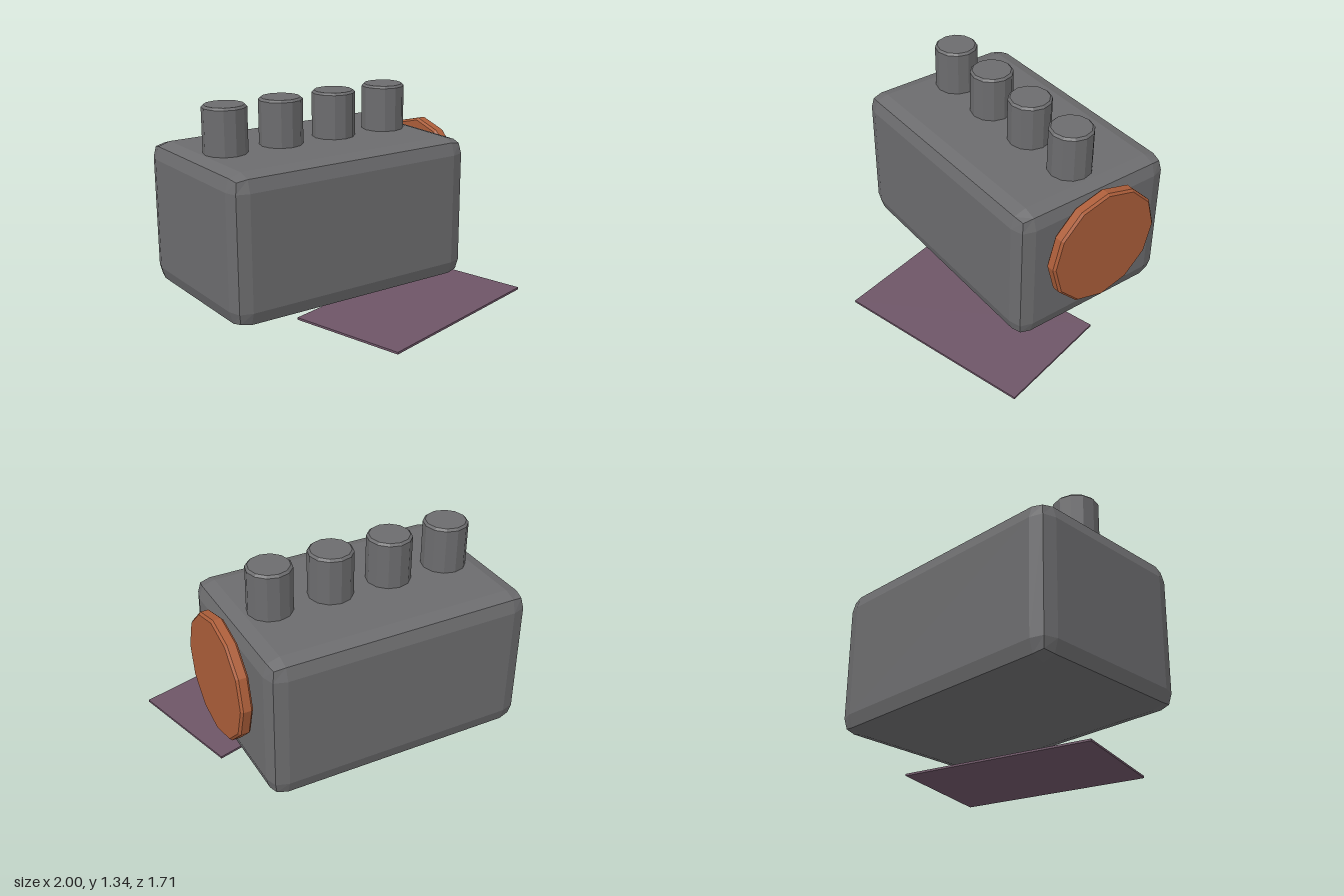
import * as THREE from 'three';

const flat = (name, color) => {
  const m = new THREE.MeshStandardMaterial({ color, flatShading: true });
  m.name = name;
  return m;
};

// Box with a crowned two-step bevel: edges and corners are pulled inwards
function bevelledBox(w, h, d, bevel, pull) {
  const geo = new THREE.BoxGeometry(w, h, d, 3, 3, 3);
  const pos = geo.attributes.position;
  const half = [w / 2, h / 2, d / 2];
  for (let i = 0; i < pos.count; i++) {
    const p = [pos.getX(i), pos.getY(i), pos.getZ(i)];
    const outer = p.map((v, a) => Math.abs(v) > half[a] - 1e-4);
    const count = outer.filter(Boolean).length;
    const inset = [0, 0, pull, pull * 1.5][count];
    const q = p.map((v, a) => Math.sign(v) * (half[a] - (outer[a] ? inset : bevel)));
    pos.setXYZ(i, q[0], q[1], q[2]);
  }
  geo.computeVertexNormals();
  return geo;
}

// Twelve-sided solid disc with a small bevel on both rims
function bevelledDisc(radius, height, bevel) {
  const y = height / 2;
  const profile = [
    [0, -y], [radius - bevel, -y], [radius, -y + bevel],
    [radius, y - bevel], [radius - bevel, y], [0, y],
  ].map(([r, v]) => new THREE.Vector2(r, v));
  return new THREE.LatheGeometry(profile, 12);
}

export function createModel() {
  const model = new THREE.Group();
  model.name = 'engine';

  const grey = flat('castGrey', 0x6c6c6e);
  const rust = flat('rustOrange', 0xac5e3a);
  const mauve = flat('mauve', 0x6e5567);

  const add = (name, geo, mat, x, y, z) => {
    const mesh = new THREE.Mesh(geo, mat);
    mesh.name = name;
    mesh.position.set(x, y, z);
    model.add(mesh);
    return mesh;
  };

  // Main block
  add('engineBlock', bevelledBox(1.715, 0.94, 1.125, 0.105, 0.025), grey, -0.1425, 0.565, -0.295);

  // Row of four cylinders on top
  const cylinder = bevelledDisc(0.14, 0.4, 0.014);
  for (let i = 0; i < 4; i++) {
    add(`cylinder${i + 1}`, cylinder, grey, -0.743 + i * 0.398, 1.135, -0.293);
  }

  // Flywheel standing just off the left end
  add('flywheel', bevelledDisc(0.393, 0.078, 0.014), rust, 0.782, 0.667, -0.29)
    .rotation.z = -Math.PI / 2;

  // Thin sheet lying on the ground, turned by 15 degrees
  add('groundSheet', new THREE.BoxGeometry(1.324, 0.014, 0.79), mauve, 0.255, 0.007, 0.303)
    .rotation.y = Math.PI / 12;

  return model;
}
